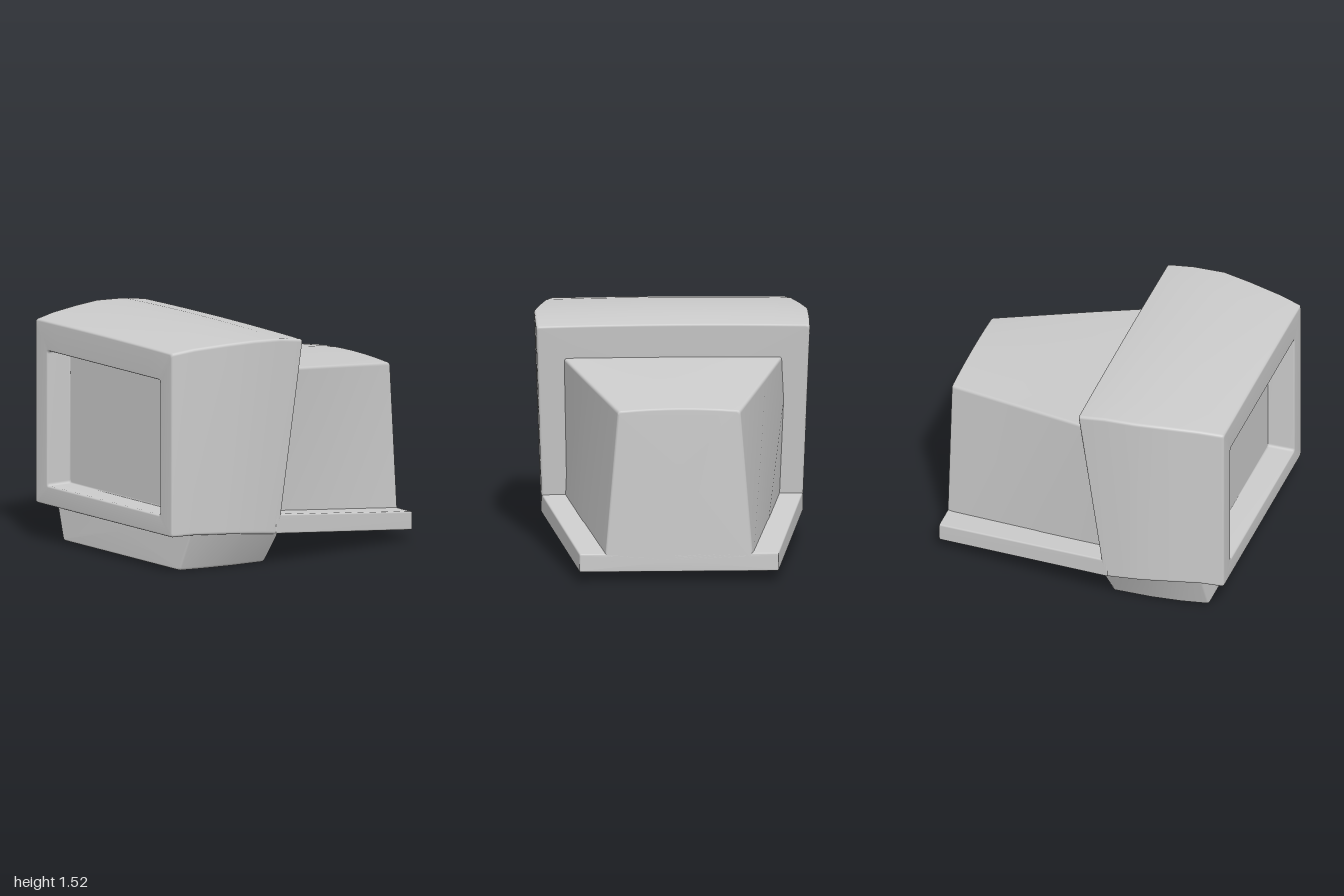
import * as THREE from 'three';

const MAT = new THREE.MeshStandardMaterial({ color: 0xcccccc, side: THREE.DoubleSide });

// One station of a loft: a quad in the y/z plane, leaning in x from bottom to top.
const sec = (xb, xt, yb, yt, zb, zt, crown = 0) => ({ xb, xt, yb, yt, zb, zt, crown });

// The same station moved along x and shrunk on all sides.
const inset = (s, d, dx = 0) => ({
  ...s, xb: s.xb + dx, xt: s.xt + dx,
  yb: s.yb + d, yt: s.yt - d, zb: s.zb - d, zt: s.zt - d,
});

// Rounded outline of a station, with a gently crowned top edge.
function ring(s, r) {
  const c = [[s.zb, s.yb], [s.zt, s.yt], [-s.zt, s.yt], [-s.zb, s.yb]].map(p => new THREE.Vector2(...p));
  const pts = [];
  const toward = (a, b) => a.clone().add(b.clone().sub(a).setLength(r));
  c.forEach((p, i) => {
    const a = toward(p, c[(i + 3) % 4]), b = toward(p, c[(i + 1) % 4]);
    const top = i === 1 || i === 2;
    new THREE.QuadraticBezierCurve(a, p, b).getPoints(4).forEach(q => pts.push([q, top]));
    if (i === 1) {
      const end = toward(c[2], c[1]);
      for (let k = 1; k < 8; k++) pts.push([b.clone().lerp(end, k / 8), true]);
    }
  });
  return pts.map(([q, top]) => {
    const t = (q.y - s.yb) / (s.yt - s.yb);
    const y = q.y + (top ? s.crown * (1 - (q.x / s.zt) ** 2) : 0);
    return new THREE.Vector3(s.xb + (s.xt - s.xb) * t, y, -q.x);
  });
}

// Skin the stations along +x and close both ends.
function loft(name, stations, r = 0.02) {
  const rings = stations.map(s => ring(s, r));
  const n = rings[0].length, pos = [], idx = [];
  rings.flat().forEach(p => pos.push(p.x, p.y, p.z));
  for (let i = 0; i < rings.length - 1; i++) {
    for (let j = 0; j < n; j++) {
      const a = i * n + j, b = i * n + (j + 1) % n;
      idx.push(a, b, a + n, b, b + n, a + n);
    }
  }
  [0, rings.length - 1].forEach((k, last) => {
    const mid = new THREE.Vector3();
    rings[k].forEach(p => mid.addScaledVector(p, 1 / n));
    const m = pos.length / 3;
    pos.push(mid.x, mid.y, mid.z);
    for (let j = 0; j < n; j++) {
      const a = k * n + j, b = k * n + (j + 1) % n;
      if (last) idx.push(m, a, b); else idx.push(m, b, a);
    }
  });
  const g = new THREE.BufferGeometry();
  g.setAttribute('position', new THREE.Float32BufferAttribute(pos, 3));
  g.setIndex(idx);
  g.computeVertexNormals(); // area weighted, so the narrow bevels take the rounding
  const mesh = new THREE.Mesh(g, MAT);
  mesh.name = name;
  return mesh;
}

// Replace the sharp ends of a loft with small bevels.
function bevelEnds(list, d = 0.015) {
  const a = list[0], b = list[list.length - 1];
  return [
    inset(a, d), inset(a, d * 0.3, d * 0.3), inset(a, 0, d),
    ...list.slice(1, -1),
    inset(b, 0, -d), inset(b, d * 0.3, -d * 0.3), inset(b, d),
  ];
}

export function createModel() {
  const model = new THREE.Group();

  // Front housing, lofted outward from the sunken screen
  const opening = sec(-1, -1, 0.38, 1.27, 0.63, 0.63);
  const screen = inset(opening, 0, 0.18);
  const shell = bevelEnds([
    sec(-1, -1, 0.25, 1.465, 0.77, 0.77, 0.005),
    sec(-0.84, -0.84, 0.25, 1.485, 0.785, 0.805, 0.01),
    sec(-0.64, -0.62, 0.24, 1.5, 0.82, 0.853, 0.015),
    sec(-0.46, -0.43, 0.227, 1.508, 0.845, 0.89, 0.015),
    sec(-0.33, -0.22, 0.214, 1.5, 0.847, 0.892, 0.015),
    sec(-0.2, -0.04, 0.2, 1.478, 0.845, 0.89, 0.01),
  ]);
  model.add(loft('frontHousing', [
    inset(screen, 0.01), screen, inset(screen, 0, -0.01),
    inset(opening, 0, 0.012), inset(opening, -0.004, 0.004), inset(opening, -0.012),
    ...shell,
  ]));

  // Tapering rear cover behind the housing
  model.add(loft('rearCover', bevelEnds([
    sec(-0.3, -0.3, 0.28, 1.285, 0.71, 0.768, 0.0),
    sec(0.35, 0.35, 0.2, 1.213, 0.6, 0.587, 0.01),
    sec(1, 1, 0.12, 1.137, 0.485, 0.4, 0.018),
  ])));

  // Sloping ledge under the rear cover
  model.add(loft('rearLedge', bevelEnds([
    sec(-0.23, -0.23, 0.206, 0.335, 0.85, 0.85),
    sec(1, 1, 0.07, 0.192, 0.648, 0.648),
  ], 0.01), 0.012));

  // Flared foot under the housing
  model.add(loft('foot', bevelEnds([
    sec(-0.86, -0.84, 0, 0.27, 0.655, 0.76),
    sec(-0.68, -0.67, 0, 0.26, 0.685, 0.8),
    sec(-0.48, -0.46, 0, 0.24, 0.705, 0.83),
    sec(-0.22, -0.2, 0, 0.215, 0.71, 0.84),
  ])));

  return model;
}
